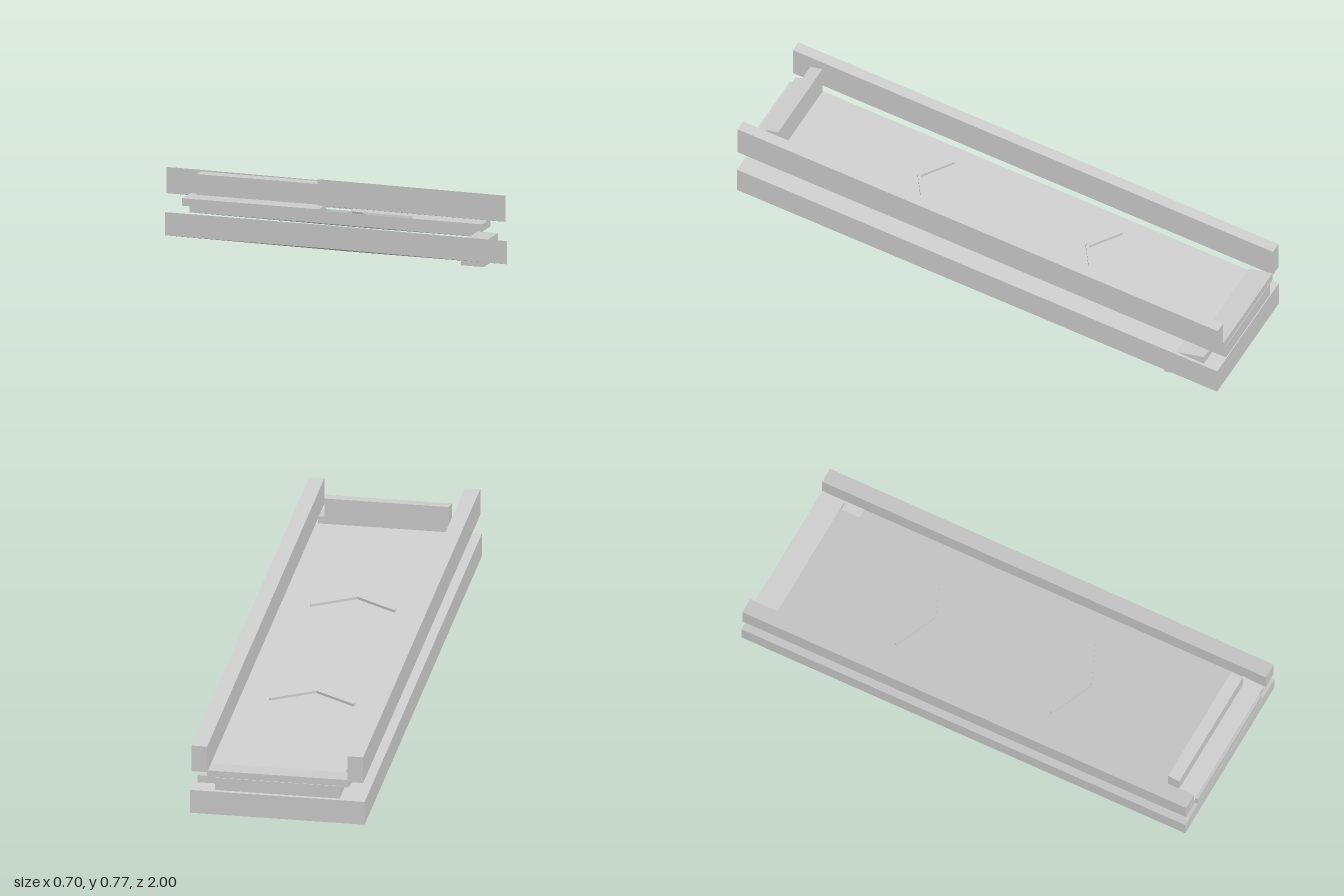
import * as THREE from 'three';

const SLOPE = 0.25; // rise per unit of z
const grey = new THREE.MeshStandardMaterial({ color: 0xcccccc });

// Box given by its limits on each axis
function box(x0, x1, y0, y1, z0, z1) {
  const g = new THREE.BoxGeometry(x1 - x0, y1 - y0, z1 - z0);
  return g.translate((x0 + x1) / 2, (y0 + y1) / 2, (z0 + z1) / 2);
}

// Slants a geometry along the incline while its ends stay vertical
function incline(g) {
  const p = g.attributes.position;
  for (let i = 0; i < p.count; i++) p.setY(i, p.getY(i) + SLOPE * p.getZ(i));
  g.computeVertexNormals();
  return g;
}

export function createModel() {
  const model = new THREE.Group();
  model.name = 'inclinedConveyor';
  const add = (name, geometry) => {
    const mesh = new THREE.Mesh(geometry, grey);
    mesh.name = name;
    model.add(mesh);
  };

  // Sloping bed and the belt above it
  add('base', incline(box(-0.35, 0.35, 0.25, 0.343, -1, 1)));
  add('belt', incline(box(-0.25, 0.25, 0.35, 0.4, -1, 1)));

  // Raised side rails
  add('leftRail', incline(box(0.282, 0.344, 0.42, 0.525, -1, 1)));
  add('rightRail', incline(box(-0.344, -0.282, 0.42, 0.525, -1, 1)));

  // Level cross plates at both ends, and the stop at the high end
  add('upperEndPlate', box(-0.283, 0.283, 0.622, 0.652, 0.895, 0.99));
  add('lowerEndPlate', box(-0.283, 0.283, 0.147, 0.177, -0.998, -0.9));
  add('endStop', box(-0.25, 0.25, 0.632, 0.735, 0.865, 0.915));

  // Drive housing set through the base at the low end
  add('driveHousing', box(0.24, 0.335, 0.037, 0.137, -0.94, -0.775));

  // Chevron ribs on the belt, pointing towards the high end
  const dx = 0.17, dz = 0.08;
  for (const tip of [0.37, -0.33]) {
    for (const side of [-1, 1]) {
      const rib = new THREE.BoxGeometry(Math.hypot(dx, dz), 0.012, 0.012);
      rib.rotateY(side * Math.atan2(dz, dx));
      rib.translate(side * dx / 2, 0.404, tip - dz / 2);
      add('chevronRib', incline(rib));
    }
  }
  return model;
}
